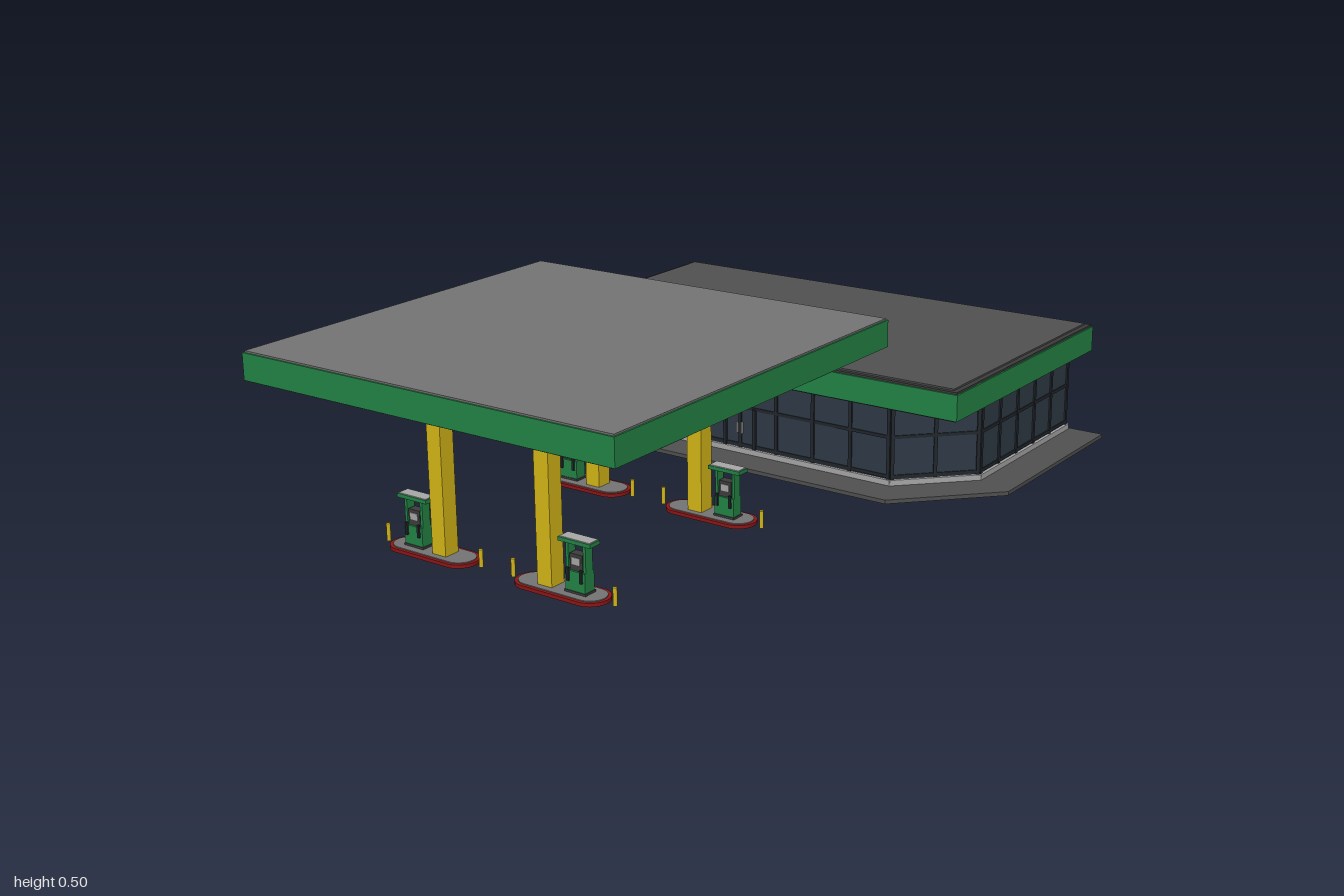
import * as THREE from 'three';

const mat = (name, color) => {
  const m = new THREE.MeshStandardMaterial({ color });
  m.name = name;
  return m;
};

export function createModel() {
  const green = mat('green', 0x238546);
  const yellow = mat('yellow', 0xd6b818);
  const roofGrey = mat('canopy grey', 0x747474);
  const darkGrey = mat('dark grey', 0x505050);
  const soffitGrey = mat('soffit grey', 0x3c3c3c);
  const paleGrey = mat('pale grey', 0xa8a8a8);
  const glass = mat('glass', 0x2f3a46);
  const frame = mat('window frame', 0x22272c);
  const red = mat('red', 0x8c1616);

  const add = (parent, name, geometry, material) => {
    const mesh = new THREE.Mesh(geometry, material);
    mesh.name = name;
    parent.add(mesh);
    return mesh;
  };
  // Box given by its centre in x and z and its bottom and top heights
  const box = (parent, name, material, w, d, y0, y1, x = 0, z = 0) => {
    const m = add(parent, name, new THREE.BoxGeometry(w, y1 - y0, d), material);
    m.position.set(x, (y0 + y1) / 2, z);
    return m;
  };
  const group = (parent, name) => {
    const g = new THREE.Group();
    g.name = name;
    parent.add(g);
    return g;
  };
  // Horizontal plate from a plan outline, with y of the shape running to -z
  const plate = (parent, name, material, shape, y0, y1) => {
    const geo = new THREE.ExtrudeGeometry(shape, { depth: y1 - y0, bevelEnabled: false, curveSegments: 10 });
    const m = add(parent, name, geo.rotateX(-Math.PI / 2), material);
    m.position.y = y0;
    return m;
  };

  const model = new THREE.Group();
  model.name = 'fuelStation';
  // The site is turned and stands on a slight slope
  const site = group(model, 'site');
  site.position.set(0.0685, 0, -0.0085);
  site.rotation.set(0.021, 0.124, 0);

  // ---- Shop ----
  const shop = group(site, 'shop');
  const plan = (x, back, side, cx, front) =>
    [[-x, back], [-x, side], [-cx, front], [cx, front], [x, side], [x, back]];
  const toVec = pts => pts.map(([x, z]) => new THREE.Vector2(x, -z));
  const wallPlan = plan(0.6, -0.866, -0.389, 0.441, -0.23);

  // Walkway around the open floor
  const walk = new THREE.Shape(toVec(plan(0.7, -0.878, -0.35, 0.486, -0.131)));
  walk.holes.push(new THREE.Path(toVec(wallPlan)));
  plate(shop, 'walkway', darkGrey, walk, 0.018, 0.028);

  // Walls run between plan corners, outward face on local +z
  const wall = (name, a, b, cols) => {
    const g = group(shop, name);
    const len = Math.hypot(b[0] - a[0], b[1] - a[1]);
    g.position.set((a[0] + b[0]) / 2, 0, (a[1] + b[1]) / 2);
    g.rotation.y = Math.atan2(-(b[1] - a[1]), b[0] - a[0]);
    box(g, 'wallPanel', cols ? glass : darkGrey, len, 0.01, 0.026, 0.245, 0, -0.005);
    box(g, 'skirting', paleGrey, len + 0.008, 0.024, 0.028, 0.042, 0, -0.004);
    if (!cols) return;
    for (let i = 0; i <= cols; i++) {
      box(g, 'mullion', frame, 0.009, 0.018, 0.042, 0.24, (i / cols - 0.5) * (len - 0.009), -0.005);
    }
    for (const y of [0.045, 0.146, 0.23]) {
      box(g, 'rail', frame, len, 0.016, y, y + 0.008, 0, -0.005);
    }
  };
  const names = ['rightWall', 'rightCornerWall', 'frontWall', 'leftCornerWall', 'leftWall', 'backWall'];
  const columns = [5, 2, 8, 2, 5, 0];
  wallPlan.forEach((p, i) => wall(names[i], p, wallPlan[(i + 1) % 6], columns[i]));

  // Double front door
  for (const s of [-1, 1]) {
    box(shop, 'doorStile', frame, 0.008, 0.008, 0.042, 0.15, s * 0.045, -0.226);
    box(shop, 'doorHandle', paleGrey, 0.003, 0.006, 0.08, 0.11, s * 0.007, -0.224);
  }

  // Flat roof with fascia
  const rz = -0.55;
  box(shop, 'roofSoffit', soffitGrey, 1.27, 0.715, 0.234, 0.242, 0, rz);
  box(shop, 'roofFascia', green, 1.285, 0.73, 0.238, 0.303, 0, rz);
  box(shop, 'roofEdge', soffitGrey, 1.277, 0.722, 0.303, 0.308, 0, rz);
  box(shop, 'roofTop', darkGrey, 1.25, 0.7, 0.308, 0.312, 0, rz);

  // ---- Forecourt canopy ----
  const canopy = group(site, 'canopy');
  const cz = 0.436;
  box(canopy, 'canopySoffit', darkGrey, 1.022, 1.002, 0.424, 0.43, 0, cz);
  box(canopy, 'canopyFascia', green, 1.038, 1.018, 0.428, 0.492, 0, cz);
  box(canopy, 'canopyRoof', roofGrey, 1.03, 1.01, 0.492, 0.496, 0, cz);

  // ---- Two rows of pump islands ----
  const stadium = (len, width) => {
    const h = len / 2 - width / 2, r = width / 2;
    const s = new THREE.Shape();
    s.moveTo(-h, -r);
    s.lineTo(h, -r);
    s.absarc(h, 0, r, -Math.PI / 2, Math.PI / 2, false);
    s.lineTo(-h, r);
    s.absarc(-h, 0, r, Math.PI / 2, Math.PI * 1.5, false);
    return s;
  };

  const dispenser = (parent, x) => {
    const g = group(parent, 'fuelDispenser');
    g.position.x = x;
    box(g, 'plinth', soffitGrey, 0.058, 0.036, 0.027, 0.033);
    box(g, 'lowerBody', green, 0.054, 0.032, 0.033, 0.078);
    box(g, 'upperBody', soffitGrey, 0.034, 0.022, 0.078, 0.116);
    for (const s of [-1, 1]) {
      box(g, 'sidePost', green, 0.007, 0.024, 0.078, 0.142, s * 0.0235);
      box(g, 'screen', paleGrey, 0.022, 0.002, 0.092, 0.108, 0, s * 0.0115);
      box(g, 'nozzle', frame, 0.006, 0.006, 0.055, 0.085, s * 0.018, 0.018);
    }
    box(g, 'topPanel', green, 0.088, 0.034, 0.14, 0.149);
    box(g, 'topCover', paleGrey, 0.082, 0.03, 0.149, 0.151);
  };

  for (const z of [0.716, 0.165]) {
    const row = group(site, 'pumpRow');
    row.position.z = z;
    box(row, 'soffitStrip', paleGrey, 0.98, 0.1, 0.411, 0.426);
    for (const s of [-1, 1]) {
      const island = group(row, 'pumpIsland');
      plate(island, 'islandKerb', red, stadium(0.245, 0.09), 0.0175, 0.026).position.x = s * 0.187;
      plate(island, 'islandTop', roofGrey, stadium(0.229, 0.074), 0.026, 0.028).position.x = s * 0.187;
      plate(island, 'islandBase', darkGrey, stadium(0.24, 0.085), 0.0165, 0.018).position.x = s * 0.187;
      box(island, 'pillar', yellow, 0.04, 0.042, 0.027, 0.415, s * 0.154);
      dispenser(island, s * 0.235);
      // Guard posts beyond both ends
      for (const x of [0.047, 0.33]) {
        const post = add(island, 'guardPost', new THREE.CylinderGeometry(0.005, 0.005, 0.042, 10), yellow);
        post.position.set(s * x, 0.039, 0);
      }
    }
  }
  return model;
}
